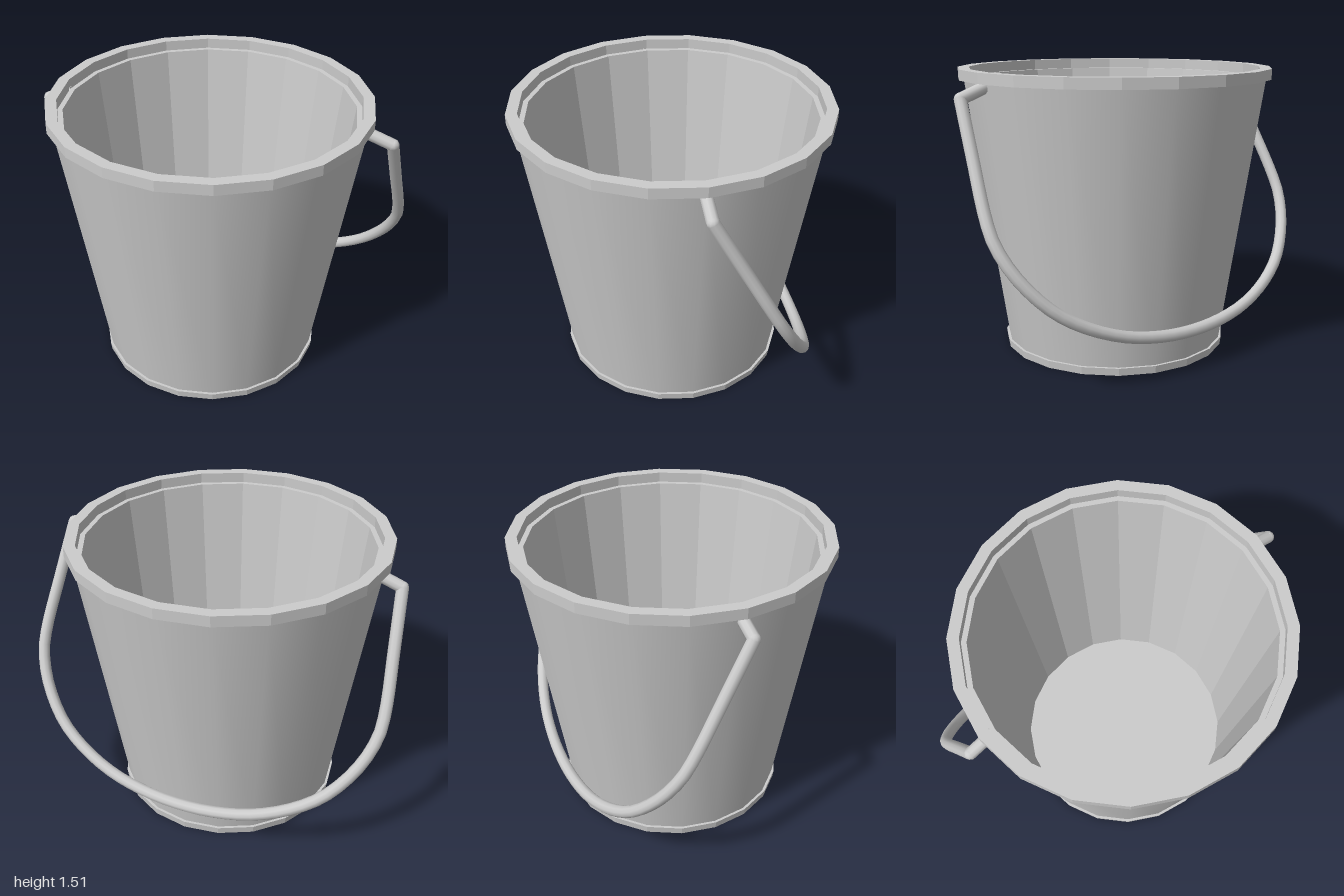
import * as THREE from 'three';

const SIDES = 20;
const ROD = 0.031;

export function createModel() {
  const model = new THREE.Group();
  model.name = 'bucketWithHandle';
  const smooth = new THREE.MeshStandardMaterial({ color: 0xcccccc });
  const faceted = new THREE.MeshStandardMaterial({ color: 0xcccccc, flatShading: true });

  const add = (parent, name, geometry, material) => {
    const mesh = new THREE.Mesh(geometry, material);
    mesh.name = name;
    parent.add(mesh);
    return mesh;
  };
  const lathe = (pts) => new THREE.LatheGeometry(pts.map(([r, y]) => new THREE.Vector2(r, y)), SIDES);

  // Bucket sits slightly to one side of the handle's centre line
  const bucket = new THREE.Group();
  bucket.name = 'bucket';
  bucket.position.x = -0.015;
  model.add(bucket);

  // Base disc, whose top is also the floor of the bucket
  add(bucket, 'base', new THREE.CylinderGeometry(0.61, 0.605, 0.04, SIDES), faceted).position.y = 0.02;

  // Tapered wall: smooth outside, faceted inside with a ledge under the rim
  add(bucket, 'outerWall', lathe([[0.596, 0.04], [0.806, 1.455]]), smooth);
  add(bucket, 'innerWall', lathe([[0.806, 1.455], [0.748, 1.455], [0.588, 0.04]]), faceted);

  // Square-section rim band
  add(bucket, 'rim', lathe([
    [0.775, 1.455], [0.834, 1.455], [0.834, 1.51], [0.775, 1.51], [0.775, 1.455],
  ]), faceted);

  // Handle hangs down behind the bucket in one tilted plane
  const handle = new THREE.Group();
  handle.name = 'handle';
  model.add(handle);
  const pivotY = 1.39, lowY = 0.215, lowZ = -0.66;
  const onPlane = (x, y) => new THREE.Vector3(x, y, lowZ * (pivotY - y) / (pivotY - lowY));

  // One half of the bow, mirrored to the other side
  const half = [
    [0.915, pivotY], [0.942, 1.12], [0.965, 0.88], [0.96, 0.76], [0.9, 0.61],
    [0.77, 0.45], [0.62, 0.35], [0.42, 0.27], [0.21, 0.228],
  ];
  const bowPoints = [
    ...half.map(([x, y]) => onPlane(x, y)),
    onPlane(0, lowY),
    ...half.map(([x, y]) => onPlane(-x, y)).reverse(),
  ];
  const bow = new THREE.CatmullRomCurve3(bowPoints, false, 'centripetal');
  add(handle, 'handleBow', new THREE.TubeGeometry(bow, 56, ROD, 10), smooth);

  // Pegs joining the bow to the bucket, with rounded elbows
  for (const side of [1, -1]) {
    const elbow = new THREE.Vector3(side * 0.915, pivotY, 0);
    const root = new THREE.Vector3(side * 0.775, 1.44, 0);
    add(handle, 'handlePeg', new THREE.TubeGeometry(new THREE.LineCurve3(root, elbow), 1, ROD, 10), smooth);
    add(handle, 'handleElbow', new THREE.SphereGeometry(ROD, 10, 8), smooth).position.copy(elbow);
  }

  return model;
}
